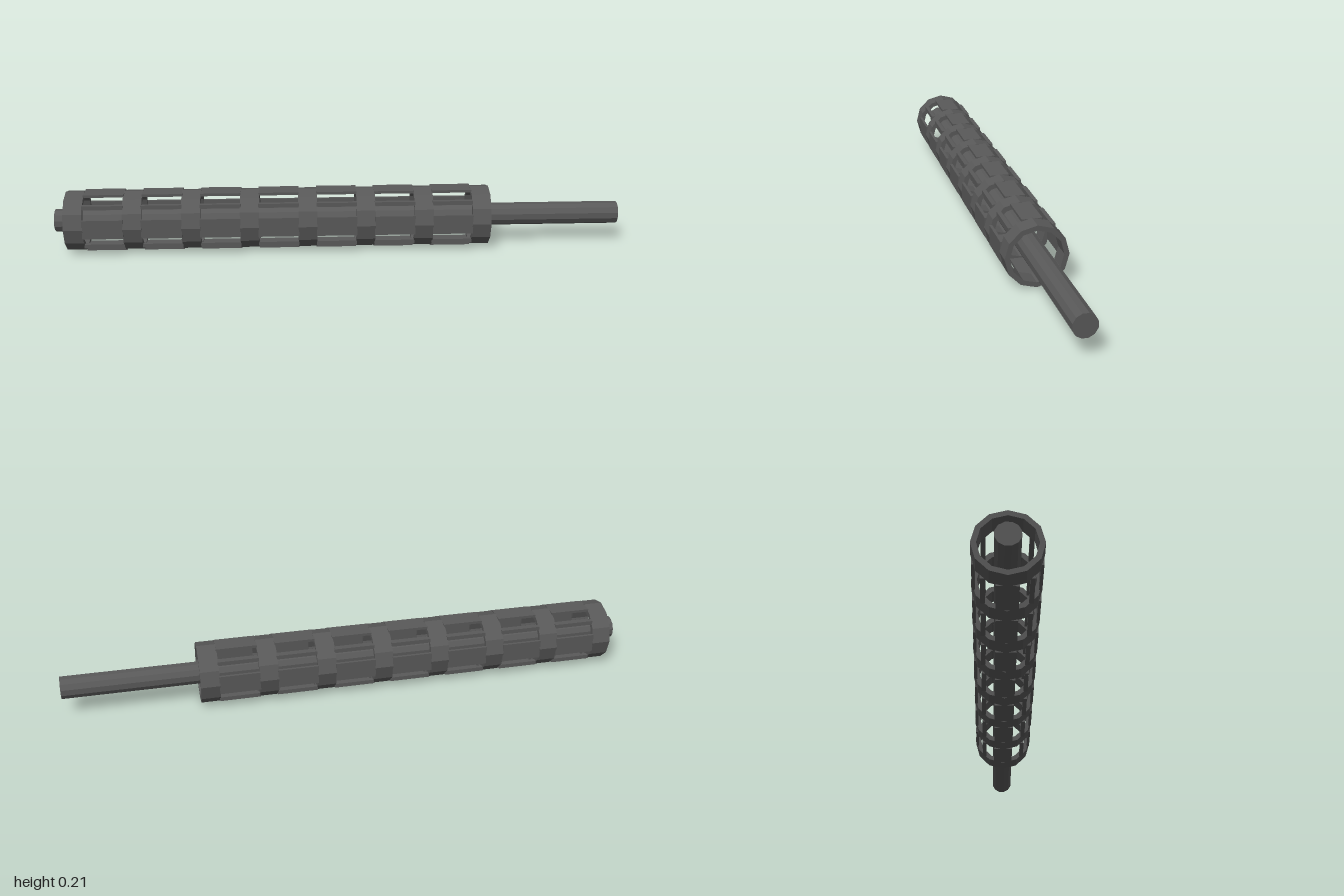
import * as THREE from 'three';

const AXIS_Y = 0.106;      // height of the long axis
const RINGS = 8, FIRST = -0.924, STEP = 0.2034, RING_W = 0.066;

// Split the faces so every facet is flat
function faceted(geometry) {
  const g = geometry.index ? geometry.toNonIndexed() : geometry;
  g.computeVertexNormals();
  return g;
}

export function createModel() {
  const model = new THREE.Group();
  model.name = 'cagedRod';
  const darkMetal = new THREE.MeshStandardMaterial({ color: 0x595959 });
  darkMetal.name = 'dark metal';

  const add = (geometry, name, x, y = 0, z = 0) => {
    const mesh = new THREE.Mesh(geometry, darkMetal);
    mesh.name = name;
    mesh.position.set(x, AXIS_Y + y, z);
    model.add(mesh);
  };

  // Inner rod, twelve sided with flats on top and at the sides
  const rod = new THREE.CylinderGeometry(0.0397, 0.0397, 2, 12, 1, false, Math.PI / 12);
  rod.rotateZ(-Math.PI / 2);
  add(faceted(rod), 'innerRod', 0);

  // Rings, twelve sided with a corner on top
  const h = RING_W / 2, outer = 0.106, inner = 0.089;
  const profile = [[outer, -h], [outer, h], [inner, h], [inner, -h], [outer, -h]]
    .map(([r, y]) => new THREE.Vector2(r, y));
  const ring = faceted(new THREE.LatheGeometry(profile, 12).rotateZ(-Math.PI / 2));
  for (let i = 0; i < RINGS; i++) add(ring, 'ring', FIRST + i * STEP);

  // Bars in each bay: wide slats on the four sides, square bars at the diagonals
  const len = STEP - RING_W + 0.004;
  const flatSlat = new THREE.BoxGeometry(len, 0.0095, 0.068);
  const uprightSlat = new THREE.BoxGeometry(len, 0.068, 0.0095);
  const squareBar = new THREE.BoxGeometry(len, 0.0145, 0.0145);
  for (let i = 0; i < RINGS - 1; i++) {
    const x = FIRST + (i + 0.5) * STEP;
    for (const s of [-1, 1]) {
      add(flatSlat, 'slat', x, s * 0.0988, 0);
      add(uprightSlat, 'slat', x, 0, s * 0.0988);
      for (const t of [-1, 1]) add(squareBar, 'cornerBar', x, s * 0.0712, t * 0.0712);
    }
  }
  return model;
}
